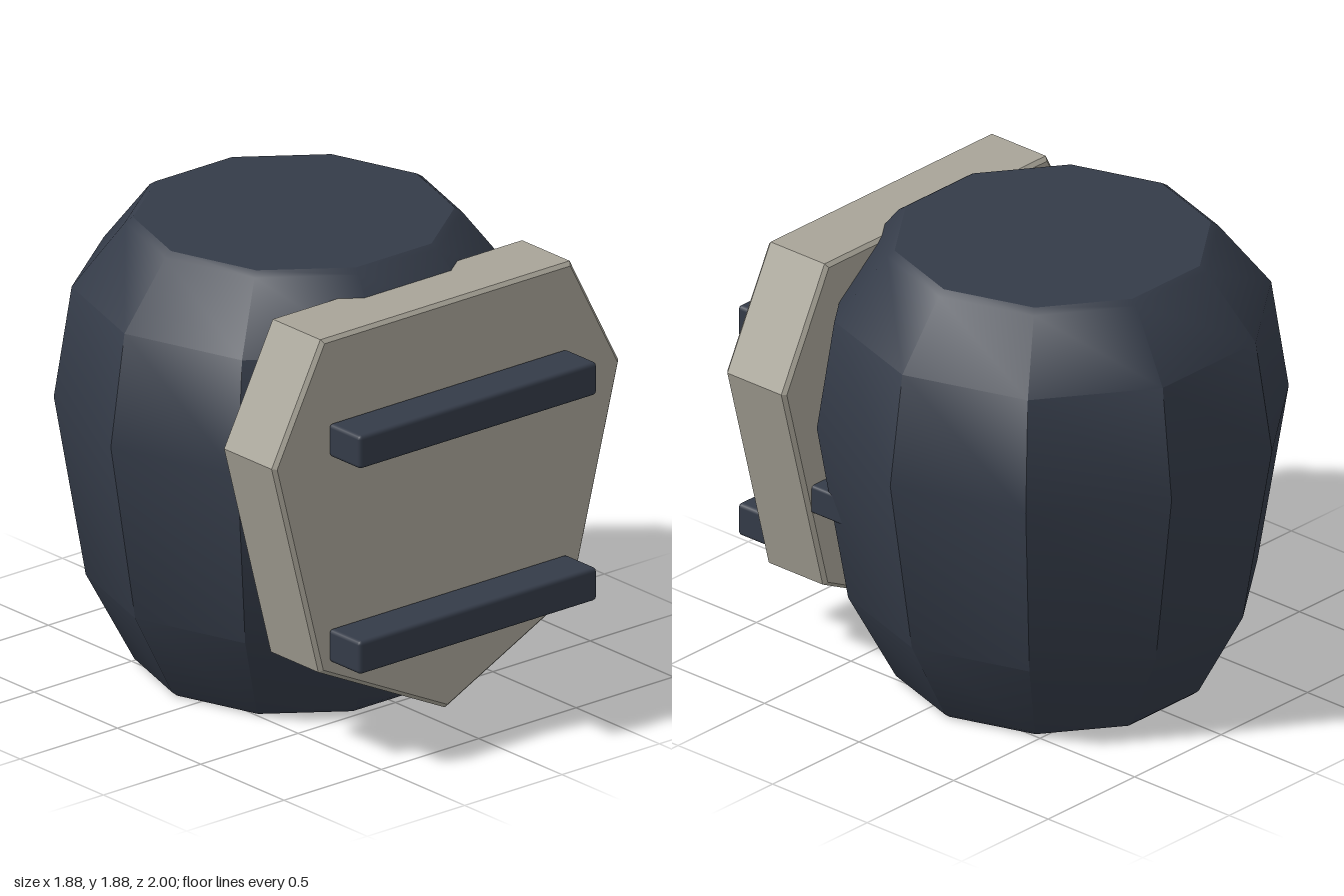
import * as THREE from 'three';
import { toCreasedNormals } from 'three/addons/utils/BufferGeometryUtils.js';
import { RoundedBoxGeometry } from 'three/addons/geometries/RoundedBoxGeometry.js';

const darkSlate = new THREE.MeshStandardMaterial({ name: 'darkSlate', color: 0x343b48 });
const stoneGrey = new THREE.MeshStandardMaterial({ name: 'stoneGrey', color: 0xa8a498 });

export function createModel() {
  const model = new THREE.Group();
  const add = (name, geometry, material, x = 0, y = 0, z = 0) => {
    const mesh = new THREE.Mesh(geometry, material);
    mesh.name = name;
    mesh.position.set(x, y, z);
    model.add(mesh);
  };

  // Ten-sided barrel body, flat faces to the front and back
  const profile = [
    [0, 0], [0.6, 0], [0.625, 0.02], [0.815, 0.38], [0.94, 1.13],
    [0.87, 1.59], [0.66, 1.855], [0.63, 1.875], [0, 1.875],
  ].map(([r, y]) => new THREE.Vector2(r, y));
  const barrel = new THREE.LatheGeometry(profile, 10, Math.PI / 10);
  add('body', toCreasedNormals(barrel, THREE.MathUtils.degToRad(33)), darkSlate, 0, 0, -0.11);

  // Shield-shaped front plate with a fine bevel
  const bevel = 0.015;
  const outline = [[0, 0.07], [0.65, 0.385], [0.89, 1.3], [0.64, 1.78], [-0.64, 1.78], [-0.89, 1.3], [-0.65, 0.385]];
  const shape = new THREE.Shape(outline.map(([x, y]) => new THREE.Vector2(x, y)));
  const plate = new THREE.ExtrudeGeometry(shape, {
    depth: 0.315 - 2 * bevel, bevelThickness: bevel, bevelSize: bevel, bevelOffset: -bevel, bevelSegments: 1,
  });
  add('frontPlate', plate, stoneGrey, 0, 0, 0.497 + bevel);

  // Two horizontal bars on the plate
  for (const [name, y] of [['upperBar', 1.355], ['lowerBar', 0.492]]) {
    add(name, new RoundedBoxGeometry(1.22, 0.138, 0.19, 2, 0.016), darkSlate, 0, y, 0.905);
  }

  // Small lug between plate and body, on the left side only
  add('sideLug', new RoundedBoxGeometry(0.18, 0.12, 0.4, 2, 0.012), darkSlate, 0.64, 0.79, 0.4);

  return model;
}
